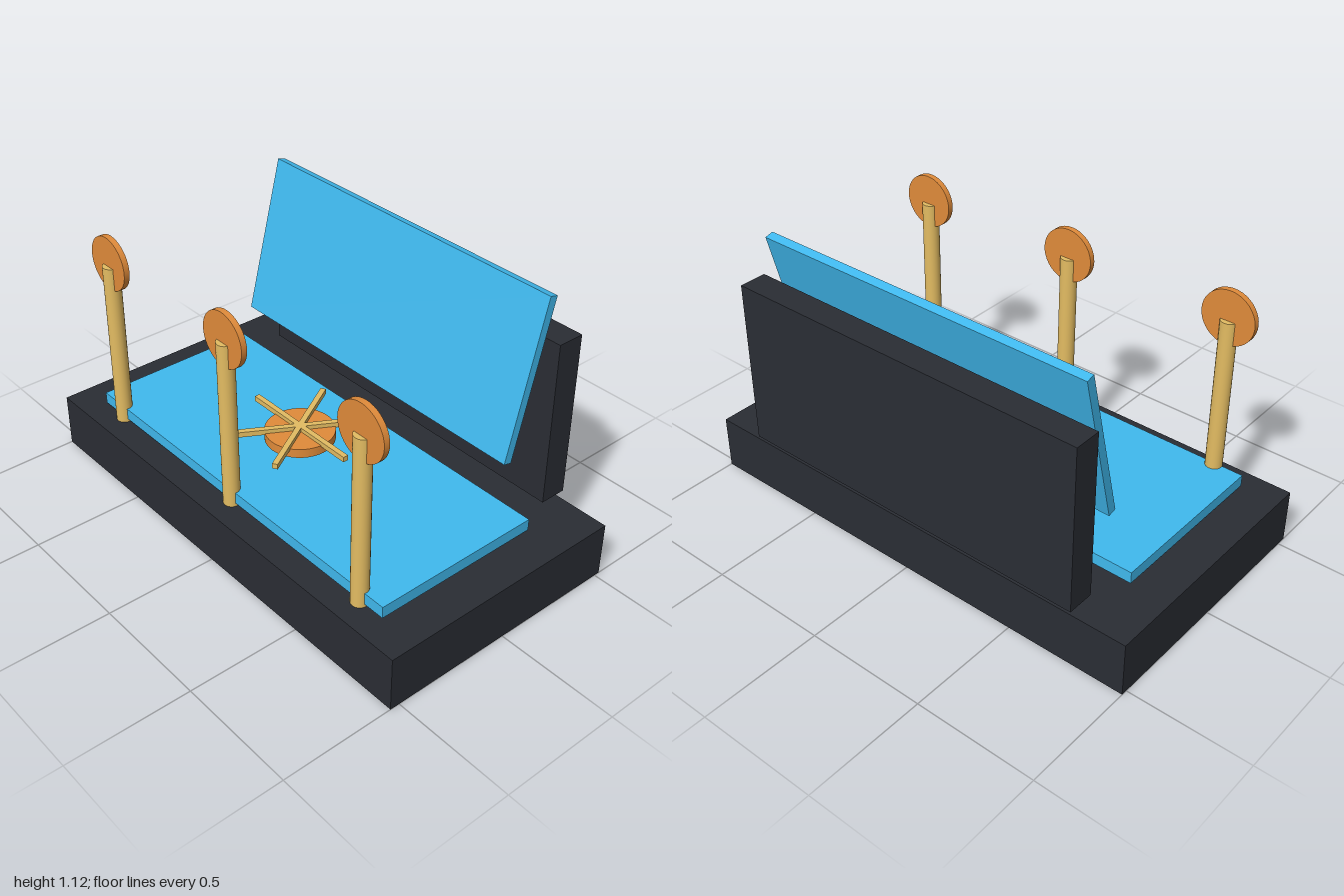
import * as THREE from 'three';

const dark = new THREE.MeshStandardMaterial({ color: 0x2a2d34 });
const blue = new THREE.MeshStandardMaterial({ color: 0x40b9ee });
const gold = new THREE.MeshStandardMaterial({ color: 0xe3bc62 });
const copper = new THREE.MeshStandardMaterial({ color: 0xe08b3a });

function add(parent, name, geometry, material, x, y, z) {
  const mesh = new THREE.Mesh(geometry, material);
  mesh.name = name;
  mesh.position.set(x, y, z);
  parent.add(mesh);
  return mesh;
}

export function createModel() {
  const model = new THREE.Group();
  model.name = 'model';
  const box = (w, h, d) => new THREE.BoxGeometry(w, h, d);

  // Plinth, raised deck and rear wall
  add(model, 'base', box(2, 0.226, 1.063), dark, 0, 0.113, 0.008);
  add(model, 'deck', box(1.686, 0.048, 0.717), blue, 0, 0.264, 0.082);
  add(model, 'backWall', box(1.56, 0.687, 0.113), dark, 0, 0.596, -0.48);

  // Panel leaning back in front of the wall
  const panel = add(model, 'tiltedPanel', box(1.47, 0.653, 0.036), blue, 0, 0.802, -0.337);
  panel.rotation.x = -0.25;

  // Floating wheel: a hub disc under three crossing bars
  const wheel = new THREE.Group();
  wheel.name = 'wheel';
  wheel.position.set(0, 0, 0.1);
  model.add(wheel);
  add(wheel, 'hub', new THREE.CylinderGeometry(0.137, 0.137, 0.038, 40), copper, 0, 0.389, 0);
  for (let i = 0; i < 3; i++) {
    const bar = add(wheel, 'spokeBar', box(0.528, 0.022, 0.022), gold, 0, 0.414, 0);
    bar.rotation.y = (i * Math.PI) / 3;
  }

  // Front row of posts, each topped by an upright disc
  for (const x of [-0.72, 0, 0.72]) {
    const marker = new THREE.Group();
    marker.name = 'marker';
    marker.position.set(x, 0, 0.433);
    model.add(marker);
    add(marker, 'post', new THREE.CylinderGeometry(0.034, 0.034, 0.705, 24), gold, 0, 0.5775, 0);
    const disc = add(marker, 'disc', new THREE.CylinderGeometry(0.111, 0.111, 0.024, 40), copper, 0, 0.942, 0);
    disc.rotation.x = Math.PI / 2;
  }
  return model;
}
